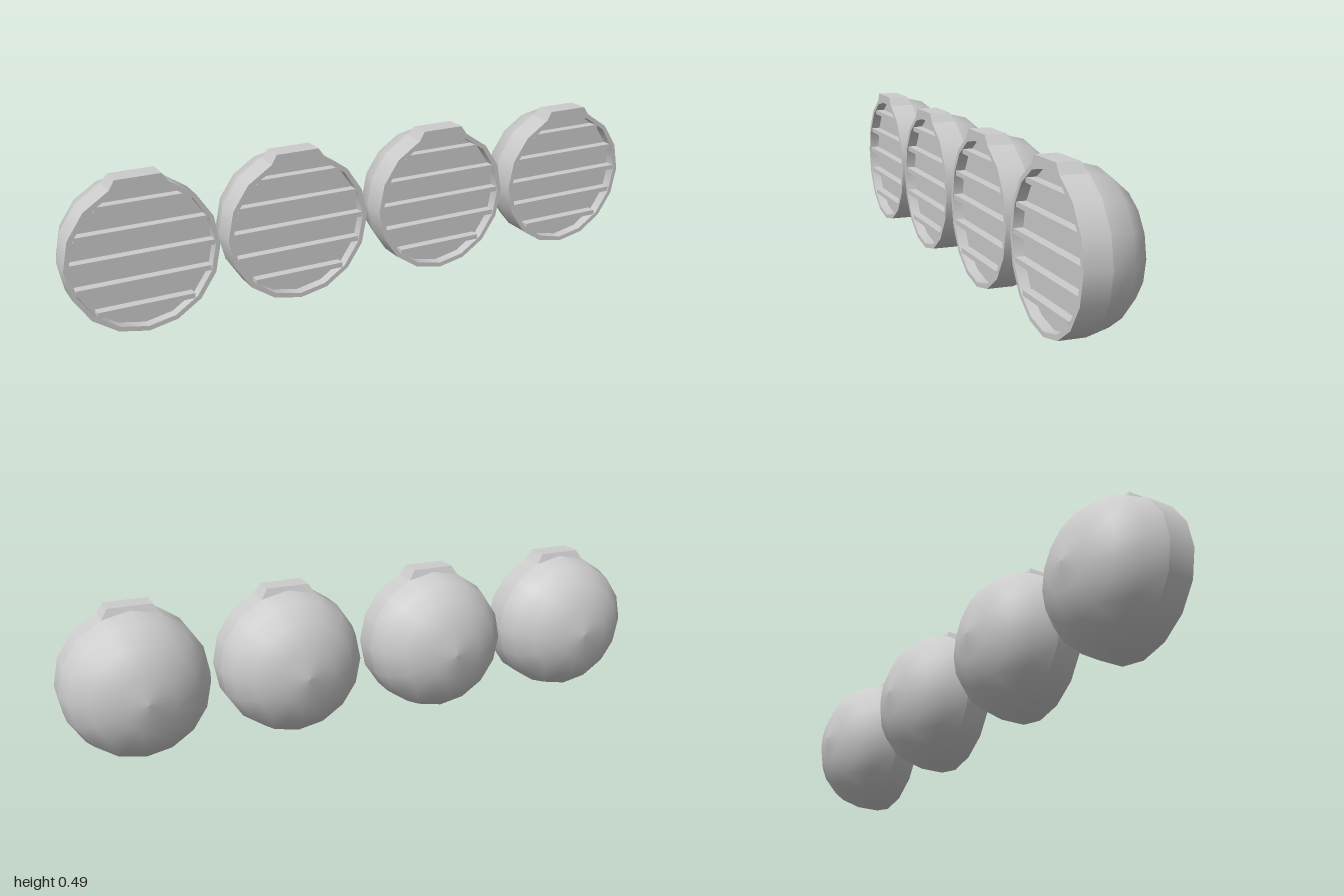
import * as THREE from 'three';

const R = 0.237, INNER = 0.222, CY = 0.239, FRONT = 0.133, FLOOR = 0.1;
const mat = new THREE.MeshStandardMaterial({ color: 0xcccccc });

function mesh(name, geometry) {
  const m = new THREE.Mesh(geometry, mat);
  m.name = name;
  return m;
}

// 16-sided surface turned about the z axis, from [radius, z] points
function turned(name, points) {
  const g = new THREE.LatheGeometry(points.map(([r, z]) => new THREE.Vector2(r, z)), 16);
  return mesh(name, g.rotateX(Math.PI / 2));
}

// Trapezoid cap on top of the housing, its back upper edge leaning forward
function capGeometry() {
  const s = new THREE.Shape();
  s.moveTo(-0.09, 0.218);
  s.lineTo(0.09, 0.218);
  s.lineTo(0.068, 0.249);
  s.lineTo(-0.072, 0.249);
  const g = new THREE.ExtrudeGeometry(s, { depth: FRONT - 0.05, bevelEnabled: false });
  g.translate(0, 0, 0.05);
  const p = g.attributes.position;
  for (let i = 0; i < p.count; i++) {
    if (p.getY(i) > 0.24 && p.getZ(i) < 0.06) p.setZ(i, 0.063);
  }
  g.computeVertexNormals();
  return g;
}

function createLamp() {
  const lamp = new THREE.Group();
  lamp.add(
    turned('domeBack', [[0, -0.132], [0.09, -0.118], [0.168, -0.079], [0.219, -0.02], [R, 0.05]]),
    turned('housingBand', [[R, 0.05], [R, FRONT]]),
    turned('frontRim', [[R, FRONT], [INNER, FRONT]]),
    turned('recessWall', [[INNER, FRONT], [INNER, FLOOR]]),
    turned('lens', [[INNER, FLOOR], [0, FLOOR]]),
    mesh('topCap', capGeometry())
  );
  // Horizontal slats cut to the width of the round opening
  for (let i = -2; i <= 2; i++) {
    const y = i * 0.081 + 0.006;
    const width = 2 * Math.sqrt(INNER ** 2 - (Math.abs(y) + 0.008) ** 2);
    const slat = mesh('slat', new THREE.BoxGeometry(width, 0.016, 0.03));
    slat.position.set(0, y, FLOOR + 0.015);
    lamp.add(slat);
  }
  return lamp;
}

export function createModel() {
  const model = new THREE.Group();
  model.name = 'lampRow';
  [-0.763, -0.263, 0.257, 0.763].forEach((x, i) => {
    const lamp = createLamp();
    lamp.name = `lamp${i + 1}`;
    lamp.position.set(x, CY, 0);
    model.add(lamp);
  });
  return model;
}
